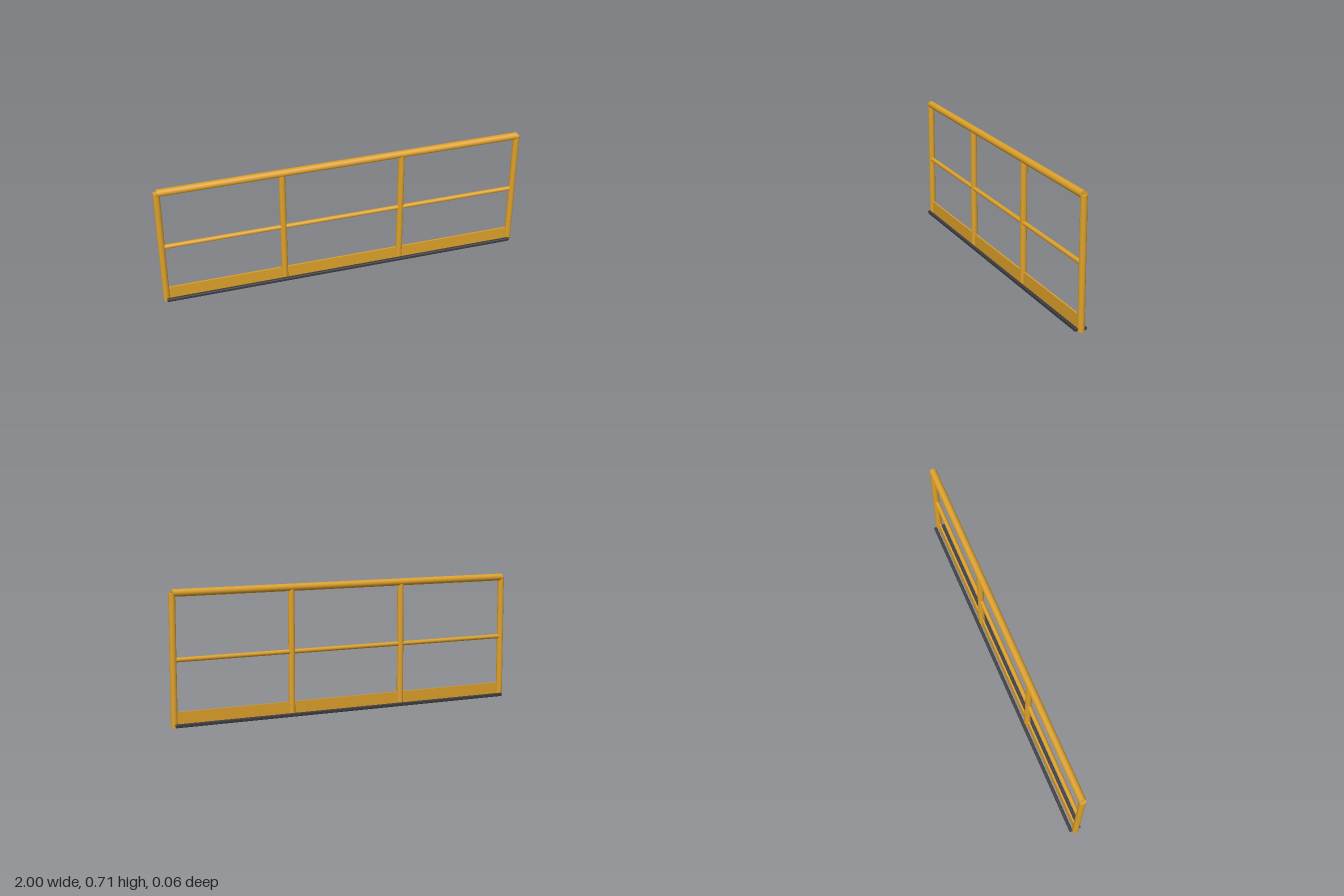
import * as THREE from 'three';
import { RoundedBoxGeometry } from 'three/addons/geometries/RoundedBoxGeometry.js';

export function createModel() {
  const model = new THREE.Group();
  model.name = 'guardRail';
  const yellow = new THREE.MeshStandardMaterial({ color: 0xdca02a });
  const dark = new THREE.MeshStandardMaterial({ color: 0x3c3c42 });

  const add = (name, geometry, material, x, y, z) => {
    const mesh = new THREE.Mesh(geometry, material);
    mesh.name = name;
    mesh.position.set(x, y, z);
    model.add(mesh);
    return mesh;
  };

  // Round tube, upright or lying along x
  const tube = (name, radius, length, x, y, lying) => {
    const mesh = add(name, new THREE.CylinderGeometry(radius, radius, length, 24), yellow, x, y, 0);
    if (lying) mesh.rotation.z = Math.PI / 2;
  };

  // Four evenly spaced posts
  const reach = 0.9825, postTop = 0.687;
  for (let i = 0; i < 4; i++) {
    tube('post', 0.0175, postTop, -reach + (i * 2 * reach) / 3, postTop / 2, false);
  }

  // Handrail and thinner middle rail
  tube('topRail', 0.0195, 2 * reach, 0, postTop, true);
  tube('middleRail', 0.012, 1.94, 0, 0.347, true);

  // Toe board between the posts
  add('toeBoard', new THREE.BoxGeometry(1.95, 0.076, 0.009), yellow, 0, 0.041, 0);

  // Pair of foot bars clamping the posts front and back
  for (const side of [-1, 1]) {
    add('footBar', new RoundedBoxGeometry(2 * reach, 0.018, 0.017, 3, 0.004), dark, 0, 0.011, side * 0.024);
  }

  return model;
}
